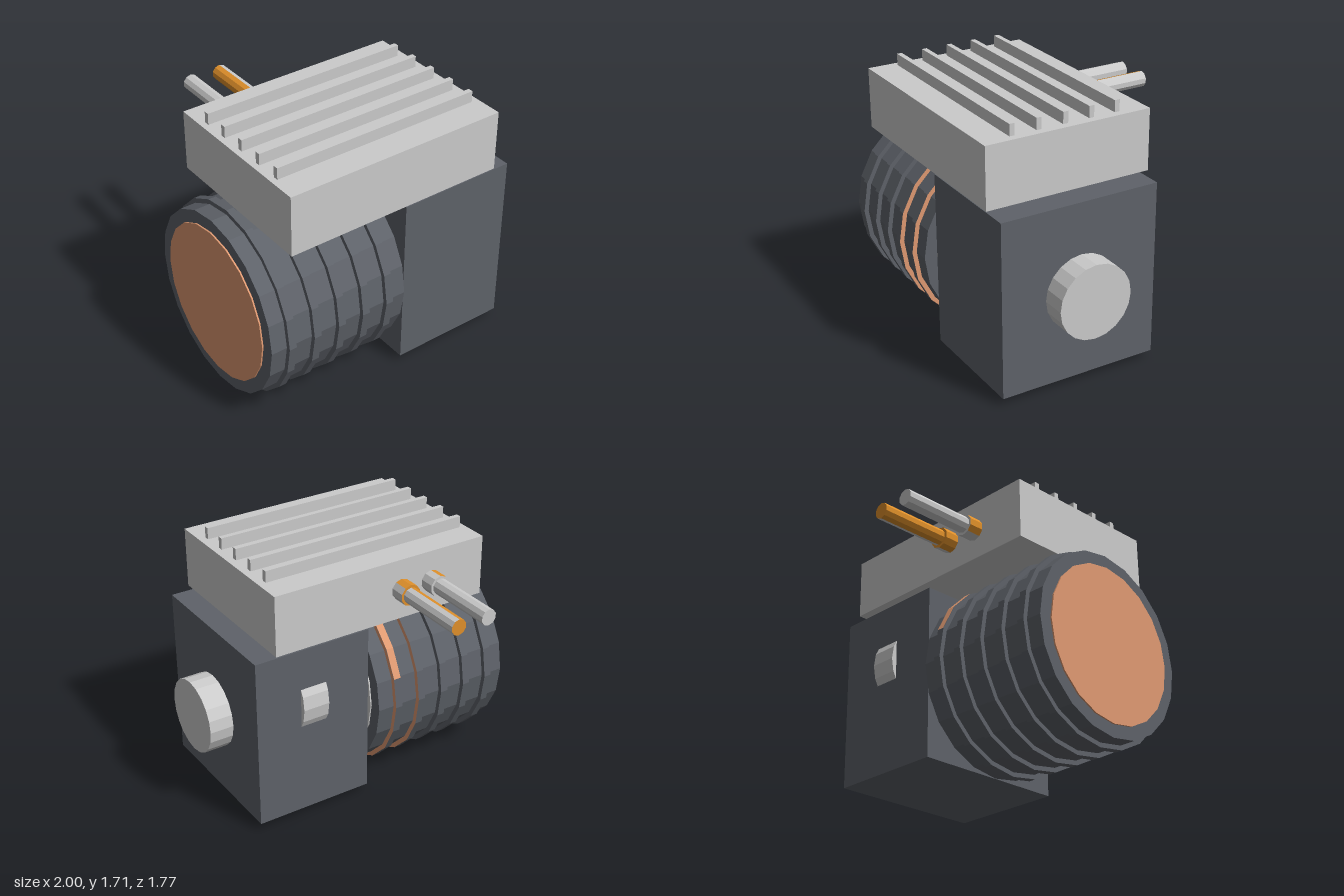
import * as THREE from 'three';

const paint = (color) => new THREE.MeshStandardMaterial({ color, flatShading: true });
const grey = paint(0xcccccc);
const dark = paint(0x5e6269);
const copper = paint(0xe09a72);
const orange = paint(0xe0902a);

// Shared motor axis (runs along x)
const AY = 0.635, AZ = 0.255;
const STEP = Math.PI / 10;

export function createModel() {
  const model = new THREE.Group();

  const add = (name, geometry, material) => {
    const mesh = new THREE.Mesh(geometry, material);
    mesh.name = name;
    model.add(mesh);
    return mesh;
  };

  // Box given by its minimum and maximum corners
  const box = (name, [x0, y0, z0], [x1, y1, z1], material) =>
    add(name, new THREE.BoxGeometry(x1 - x0, y1 - y0, z1 - z0), material)
      .position.set((x0 + x1) / 2, (y0 + y1) / 2, (z0 + z1) / 2);

  // Cylinder along x between two x positions
  const drum = (name, x0, x1, r, material, y = AY, z = AZ) =>
    add(name, new THREE.CylinderGeometry(r, r, x1 - x0, 20).rotateZ(-Math.PI / 2), material)
      .position.set((x0 + x1) / 2, y, z);

  // Round rod with an orange arc of its side; along y, or pointing back along -z
  const rod = (name, r, length, pos, alongZ, start, count, endMaterial = grey) => {
    const sides = 10, s = (2 * Math.PI) / sides;
    const group = new THREE.Group();
    group.name = name;
    const side = (from, n, material) => {
      if (n < 1) return;
      group.add(new THREE.Mesh(
        new THREE.CylinderGeometry(r, r, length, sides === n ? sides : n, 1, true, from * s, n * s), material));
    };
    side(start, count, orange);
    side(start + count, sides - count, grey);
    for (const dir of [1, -1]) {
      const end = new THREE.Mesh(
        new THREE.CircleGeometry(r, sides).rotateX(-dir * Math.PI / 2), endMaterial);
      end.position.y = dir * length / 2;
      end.rotation.y = Math.PI / 10;
      group.add(end);
    }
    group.children.forEach((m, i) => { m.name = `${name}Part${i + 1}`; });
    if (alongZ) group.rotation.x = -Math.PI / 2;
    group.position.set(...pos);
    model.add(group);
  };

  // Motor body with its end plates and the shaft
  drum('motorBody', -0.99, -0.015, 0.6, dark);
  drum('motorRearPlate', -1, -0.98, 0.515, copper);
  drum('motorFrontPlate', -0.03, -0.006, 0.515, grey);
  drum('shaft', -0.02, 0.05, 0.105, grey);

  // Cooling ribs around the motor; the two nearest the gearbox have copper faces
  [-0.86, -0.682, -0.505, -0.327, -0.15].forEach((x, i) =>
    drum('motorRib', x - 0.025, x + 0.025, 0.63, i > 2 ? [dark, copper, dark] : dark));

  // Copper band over the top and back of the last rib
  add('copperBand',
    new THREE.CylinderGeometry(0.632, 0.632, 0.05, 6, 1, true, 11 * STEP, 6 * STEP)
      .rotateZ(-Math.PI / 2), copper).position.set(-0.15, AY, AZ);

  // Gearbox, output coupling, and the inner gear showing through its back
  box('gearbox', [0.03, 0.055, -0.28], [0.83, 1.21, 0.79], dark);
  drum('outputCoupling', 0.84, 1, 0.245, grey);
  drum('innerGear', 0.34, 0.52, 0.28, grey, 0.805, -0.037);

  // Controller housing with heat sink fins
  box('controllerHousing', [-0.81, 1.235, -0.305], [0.7, 1.635, 0.81], grey);
  for (let i = 0; i < 5; i++) {
    const z = -0.105 + i * 0.178;
    box('heatSinkFin', [-0.77, 1.625, z - 0.017], [0.65, 1.71, z + 0.017], grey);
  }

  // Cables with glands at the back
  rod('cableGland', 0.07, 0.1, [-0.415, 1.435, -0.355], true, 6, 4);
  rod('cable', 0.053, 0.49, [-0.415, 1.435, -0.64], true, 0, 0);
  rod('cableGland', 0.07, 0.1, [-0.195, 1.435, -0.355], true, 5, 6, orange);
  rod('cable', 0.053, 0.49, [-0.195, 1.435, -0.64], true, 5, 5, orange);

  // Terminals between controller and motor
  [-0.595, -0.417, -0.24].forEach((x, i) =>
    rod('phaseTerminal', 0.037, 0.1, [x, 1.2, 0.522], false, [0, -1, -3][i], 3));

  return model;
}
